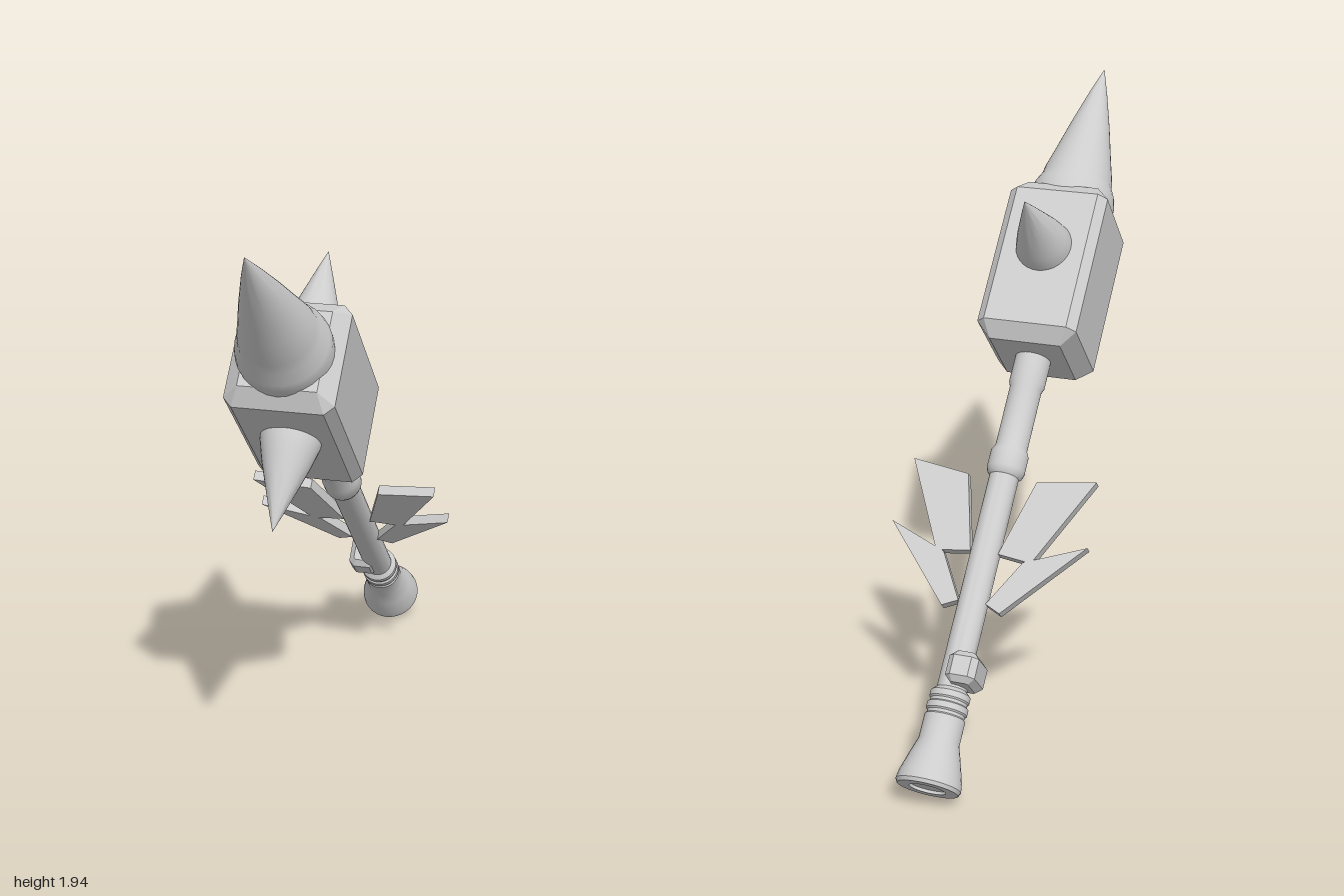
import * as THREE from 'three';
import { toCreasedNormals } from 'three/addons/utils/BufferGeometryUtils.js';

const steel = new THREE.MeshStandardMaterial({ color: 0xcccccc });
steel.name = 'plain grey';

function part(name, geometry) {
  const mesh = new THREE.Mesh(geometry, steel);
  mesh.name = name;
  return mesh;
}

// Turned part from [radius, height] pairs, listed from bottom to top
function turned(points, sides = 32) {
  const profile = points.map(([r, y]) => new THREE.Vector2(r, y));
  return toCreasedNormals(new THREE.LatheGeometry(profile, sides), 0.5);
}

// Box with cut long edges (c) and chamfered ends (b), centred
function chamferBox(w, h, d, c, b) {
  const x = w / 2, y = d / 2;
  const shape = new THREE.Shape([
    [x - c, -y], [x, -y + c], [x, y - c], [x - c, y],
    [-x + c, y], [-x, y - c], [-x, -y + c], [-x + c, -y],
  ].map(([u, v]) => new THREE.Vector2(u, v)));
  const g = new THREE.ExtrudeGeometry(shape, {
    depth: h - 2 * b, bevelThickness: b, bevelSize: b, bevelOffset: -b, bevelSegments: 1,
  });
  return g.translate(0, 0, -(h - 2 * b) / 2).rotateX(-Math.PI / 2);
}

// Flat blade lying in the plane of the handle
function blade(points, side) {
  const t = 0.035;
  const shape = new THREE.Shape(points.map(([x, y]) => new THREE.Vector2(side * x, y)));
  return new THREE.ExtrudeGeometry(shape, { depth: t, bevelEnabled: false }).translate(0, 0, -t / 2);
}

export function createModel() {
  const model = new THREE.Group();
  model.name = 'spikedHammer';

  // Everything is built upright along y, then leaned forward
  const hammer = new THREE.Group();
  hammer.name = 'hammer';
  hammer.rotation.set(0.801, 0.104, 0, 'YXZ');
  hammer.position.set(-0.07, 0.08, -0.925);
  model.add(hammer);

  // Flared pommel with recessed end and sleeve rings
  hammer.add(part('pommel', turned([
    [0, 0.01], [0.06, 0.01], [0.06, 0], [0.1, 0], [0.107, 0.012], [0.103, 0.04], [0.085, 0.1],
    [0.067, 0.155], [0.067, 0.235], [0.062, 0.24], [0.062, 0.25], [0.068, 0.255], [0.068, 0.275],
    [0.061, 0.28], [0.061, 0.29], [0.066, 0.295], [0.066, 0.315], [0.05, 0.33], [0, 0.33],
  ])));

  // Handle with its middle ring and upper sleeve
  hammer.add(part('handle', turned([
    [0.05, 0.3], [0.05, 1.075], [0.06, 1.085], [0.065, 1.1], [0.065, 1.16], [0.055, 1.18],
    [0.055, 1.4], [0.062, 1.42], [0.062, 1.54],
  ])));

  // Small block on the side of the handle
  const block = part('sideBlock', chamferBox(0.1, 0.105, 0.155, 0.02, 0.02));
  block.position.set(-0.04, 0.39, -0.02);
  hammer.add(block);

  // Two pairs of blades
  const blades = {
    upperBlade: [[0.048, 0.8], [0.165, 0.785], [0.322, 1.095], [0.12, 1.066]],
    lowerBlade: [[0.047, 0.625], [0.1, 0.6], [0.341, 0.865], [0.138, 0.784]],
  };
  for (const [name, points] of Object.entries(blades)) {
    for (const side of [1, -1]) {
      hammer.add(part(name + (side > 0 ? 'Left' : 'Right'), blade(points, side)));
    }
  }

  // Head
  const head = part('head', chamferBox(0.35, 0.61, 0.372, 0.03, 0.05));
  head.position.set(0, 1.82, -0.003);
  hammer.add(head);

  // Large end spike
  hammer.add(part('endSpike', turned([
    [0.15, 2.08], [0.152, 2.14], [0.146, 2.17], [0.128, 2.21], [0.121, 2.25],
    [0.1, 2.33], [0.07, 2.45], [0.034, 2.58], [0, 2.69],
  ])));

  // Smaller spikes on the two broad faces
  for (const side of [1, -1]) {
    const spike = part(side > 0 ? 'frontSpike' : 'backSpike', turned([
      [0.097, 0.15], [0.097, 0.19], [0.085, 0.235], [0.075, 0.27], [0.05, 0.345], [0.023, 0.425], [0, 0.49],
    ]));
    spike.rotation.x = side * Math.PI / 2;
    spike.position.y = 1.86;
    hammer.add(spike);
  }
  return model;
}
